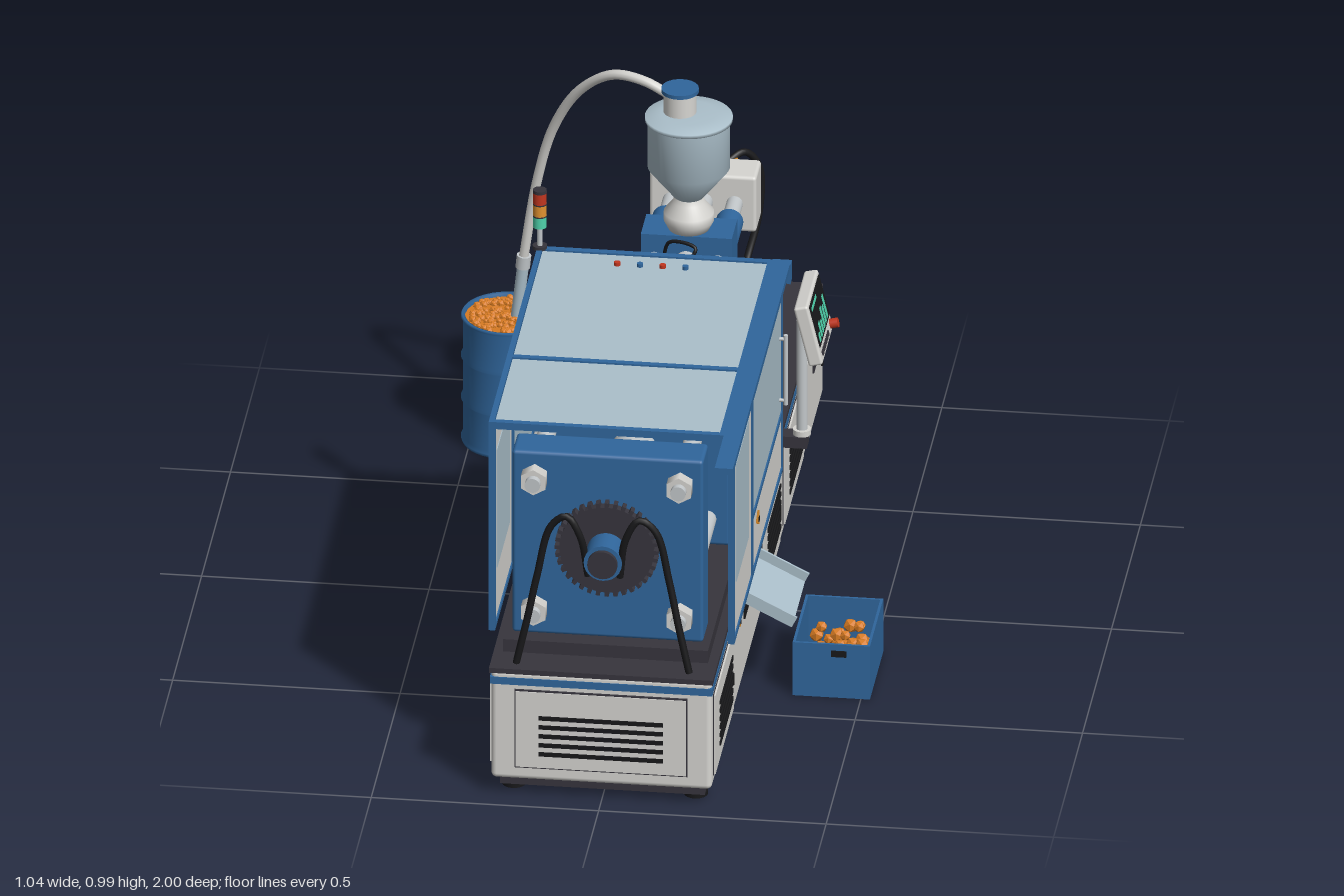
import * as THREE from 'three';
import { RoundedBoxGeometry } from 'three/addons/geometries/RoundedBoxGeometry.js';

const M = {};
for (const [name, color] of Object.entries({
  offWhite: 0xd6d5d1, machineBlue: 0x30669c, paleBlue: 0xabbfca, charcoal: 0x37353d, black: 0x18181a,
  steel: 0xc2c7ca, pelletOrange: 0xd67a22, signalRed: 0xc2361f, signalTeal: 0x4fd3ac, amber: 0xe0912f,
})) M[name] = new THREE.MeshStandardMaterial({ color, name });
M.paleBlue.side = THREE.DoubleSide;

export function createModel() {
  const root = new THREE.Group();
  root.name = 'mouldingMachine';
  const V = (a) => new THREE.Vector3(...a);
  const add = (name, geo, mat, p = [0, 0, 0], parent = root) => {
    const m = new THREE.Mesh(geo, mat);
    m.name = name;
    m.position.set(...p);
    parent.add(m);
    return m;
  };
  // box from its limits
  const box = (name, mat, x0, x1, y0, y1, z0, z1, parent) =>
    add(name, new THREE.BoxGeometry(x1 - x0, y1 - y0, z1 - z0), mat, [(x0 + x1) / 2, (y0 + y1) / 2, (z0 + z1) / 2], parent);
  // cylinder between two points
  const rod = (name, mat, a, b, r, r2 = r, sides = 24) => {
    const A = V(a), B = V(b), d = B.clone().sub(A);
    const m = add(name, new THREE.CylinderGeometry(r2, r, d.length(), sides), mat, A.clone().add(B).multiplyScalar(0.5).toArray());
    m.quaternion.setFromUnitVectors(new THREE.Vector3(0, 1, 0), d.normalize());
    return m;
  };
  const hose = (name, mat, pts, r) =>
    add(name, new THREE.TubeGeometry(new THREE.CatmullRomCurve3(pts.map(V)), 48, r, 10), mat);
  const lathe = (name, mat, pts, p) =>
    add(name, new THREE.LatheGeometry(pts.map((q) => new THREE.Vector2(...q)), 40), mat, p);
  let seed = 7;
  const rnd = () => (seed = (seed * 16807) % 2147483647) / 2147483647;

  // ---- base cabinet
  add('baseCabinet', new RoundedBoxGeometry(0.485, 0.265, 1.9, 3, 0.012), M.offWhite, [0, 0.175, 0.007]);
  box('basePlinth', M.charcoal, -0.225, 0.225, 0.02, 0.048, -0.92, 0.935);
  box('baseStripe', M.machineBlue, -0.2445, 0.2445, 0.275, 0.292, -0.945, 0.959);
  box('baseTop', M.charcoal, -0.246, 0.246, 0.303, 0.315, -0.947, 0.962);
  box('clampBed', M.charcoal, -0.225, 0.225, 0.315, 0.345, -0.02, 0.88);
  for (const x of [-0.2, 0.2]) for (const z of [0.89, 0.3, -0.3, -0.89]) {
    rod('footPad', M.black, [x, 0, z], [x, 0.01, z], 0.026);
    rod('footStem', M.charcoal, [x, 0.01, z], [x, 0.03, z], 0.012);
  }
  // raised service panels with louvre slots
  const frames = [[0.93, 0.61], [0.09, -0.2], [-0.27, -0.6], [-0.64, -0.925]];
  for (const s of [-1, 1]) {
    frames.forEach(([z1, z0], i) => {
      box('panelSeam', M.charcoal, s * 0.243 - 0.001, s * 0.243 + 0.001, 0.066, 0.264, z0, z1);
      box('servicePanel', M.offWhite, s * 0.245 - 0.003, s * 0.245 + 0.003, 0.069, 0.261, z0 + 0.003, z1 - 0.003);
      const c = (z0 + z1) / 2 - 0.02;
      if (i < 3) for (let k = 0; k < 6; k++)
        box('louvreSlot', M.black, s * 0.249 - 0.002, s * 0.249 + 0.002, 0.105 + k * 0.02, 0.114 + k * 0.02, c - 0.11, c + 0.11);
      box('panelLatch', M.black, s * 0.249 - 0.003, s * 0.249 + 0.003, 0.14, 0.165, z0 + 0.02, z0 + 0.03);
    });
    box('ratingPlate', M.charcoal, s * 0.249 - 0.002, s * 0.249 + 0.002, 0.195, 0.235, -0.84, -0.75);
    const e = s > 0 ? 0.959 : -0.945;
    box('endPanelSeam', M.charcoal, -0.19, 0.19, 0.075, 0.265, e - 0.003, e + 0.003);
    box('endPanel', M.offWhite, -0.187, 0.187, 0.078, 0.262, e - 0.005, e + 0.005);
    for (let k = 0; k < 5; k++)
      box('endLouvre', M.black, -0.137, 0.137, 0.107 + k * 0.022, 0.117 + k * 0.022, e - 0.007, e + 0.007);
  }

  // ---- guard around the clamp
  const frame = (name, s, x, y0, y1, z0, z1) => {
    for (const [a, b, c, d] of [[y0, y0 + 0.012, z0, z1], [y1 - 0.012, y1, z0, z1], [y0, y1, z0, z0 + 0.014], [y0, y1, z1 - 0.014, z1]])
      box(name, M.machineBlue, x - 0.007, x + 0.007, a, b, c, d);
  };
  for (const s of [-1, 1]) {
    const x = s > 0 ? 0.27 : -0.256;
    frame('guardFrame', s, x, 0.34, 0.84, 0.51, 0.832);
    box('guardPanel', M.offWhite, x - 0.004, x + 0.004, 0.35, 0.83, 0.522, 0.82);
    box('guardWindow', M.paleBlue, x - 0.006, x + 0.006, 0.47, 0.76, 0.57, 0.785);
    frame('doorFrame', s, x, 0.34, 0.84, -0.012, 0.512);
    box('doorWindow', M.paleBlue, x - 0.004, x + 0.004, 0.488, 0.83, 0, 0.5);
    box('doorKickPanel', M.offWhite, x - 0.004, x + 0.004, 0.35, 0.48, 0, 0.5);
    box('doorRail', M.machineBlue, x - 0.007, x + 0.007, 0.478, 0.49, 0, 0.5);
    rod('doorHandle', M.steel, [x + s * 0.018, 0.52, 0.03], [x + s * 0.018, 0.69, 0.03], 0.005);
    for (const y of [0.53, 0.68]) rod('handleMount', M.steel, [x, y, 0.03], [x + s * 0.018, y, 0.03], 0.004);
    // warning triangles
    for (const [px, py, pz, r] of [[x + s * 0.006, 0.437, 0.42, 0.02], [s * 0.244, 0.217, 0.485, 0.02]]) {
      const t = add('warningSign', new THREE.CylinderGeometry(r, r, 0.005, 3), M.amber, [px, py, pz]);
      t.rotation.set(0, 0, -Math.PI / 2);
      t.rotation.order = 'YXZ';
      box('warningMark', M.black, px - 0.004, px + 0.004, py - 0.005, py + 0.007, pz - 0.003, pz + 0.003);
    }
  }
  box('roofPanel', M.paleBlue, -0.25, 0.252, 0.838, 0.848, 0, 0.825);
  for (const [z0, z1] of [[-0.012, 0.004], [0.508, 0.522], [0.82, 0.834]]) box('roofBeam', M.machineBlue, -0.263, 0.26, 0.835, 0.852, z0, z1);
  for (const x of [-0.257, 0.25]) box('roofEdge', M.machineBlue, x - 0.006, x + 0.006, 0.835, 0.852, -0.012, 0.834);
  box('slideRail', M.machineBlue, 0.255, 0.295, 0.842, 0.857, -0.005, 1.0);
  box('slideRailLip', M.machineBlue, 0.288, 0.297, 0.81, 0.857, -0.005, 0.02);
  [-0.08, -0.03, 0.02, 0.07].forEach((x, i) =>
    rod('roofLamp', i % 2 ? M.machineBlue : M.signalRed, [x, 0.84, 0.05], [x, 0.856, 0.05], 0.007));

  // ---- platens, tie bars and moulds
  const platen = (name, z0, z1) => add(name, new RoundedBoxGeometry(0.42, 0.445, z1 - z0, 2, 0.008), M.machineBlue, [0, 0.568, (z0 + z1) / 2]);
  platen('rearPlaten', 0.755, 0.845);
  platen('movingPlaten', 0.3, 0.38);
  platen('fixedPlaten', -0.035, 0.06);
  box('fixedMould', M.steel, -0.11, 0.11, 0.45, 0.69, 0.06, 0.16);
  box('movingMould', M.steel, -0.11, 0.11, 0.45, 0.69, 0.2, 0.3);
  rod('clampRam', M.steel, [0, 0.57, 0.38], [0, 0.57, 0.76], 0.05);
  for (const x of [-0.16, 0.16]) for (const y of [0.41, 0.73]) {
    rod('tieBar', M.steel, [x, y, -0.05], [x, y, 0.86], 0.02);
    for (const [a, b] of [[0.845, 0.875], [-0.065, -0.035]]) rod('tieBarNut', M.offWhite, [x, y, a], [x, y, b], 0.031, 0.031, 6);
    rod('tieBarEnd', M.steel, [x, y, -0.08], [x, y, 0.89], 0.017);
  }
  // toothed adjusting ring and clamp cylinder
  rod('adjustRing', M.charcoal, [0, 0.57, 0.845], [0, 0.57, 0.865], 0.104, 0.104, 48);
  for (let i = 0; i < 36; i++) {
    const a = (i / 36) * Math.PI * 2;
    const t = add('ringTooth', new THREE.BoxGeometry(0.014, 0.009, 0.02), M.charcoal, [Math.cos(a) * 0.107, 0.57 + Math.sin(a) * 0.107, 0.855]);
    t.rotation.z = a;
  }
  rod('clampCylinder', M.machineBlue, [0, 0.57, 0.86], [0, 0.57, 0.93], 0.042);
  rod('clampCylinderCap', M.charcoal, [0, 0.57, 0.93], [0, 0.57, 0.94], 0.033);
  for (const s of [-1, 1])
    hose('clampHose', M.black, [[s * 0.035, 0.53, 0.91], [s * 0.05, 0.63, 0.925], [s * 0.08, 0.678, 0.925], [s * 0.115, 0.65, 0.92],
      [s * 0.145, 0.53, 0.92], [s * 0.165, 0.43, 0.925], [s * 0.19, 0.315, 0.93]], 0.008);
  // manifold on the fixed platen
  box('manifold', M.machineBlue, -0.12, 0.12, 0.79, 0.812, -0.03, 0.03);
  box('manifoldBar', M.signalRed, -0.06, 0.1, 0.805, 0.825, -0.045, -0.025);
  for (let i = 0; i < 6; i++) {
    const x = -0.075 + i * 0.03;
    hose('coolingHose', i % 2 ? M.signalRed : M.machineBlue, [[x, 0.81, 0.02], [x, 0.832, 0.015], [x, 0.828, -0.03], [x, 0.78, -0.045]], 0.005);
  }

  // ---- nozzle guard and barrel
  box('nozzleGuard', M.paleBlue, -0.1, 0.1, 0.45, 0.69, -0.17, -0.035);
  box('nozzleGuardTop', M.offWhite, -0.102, 0.102, 0.69, 0.7, -0.185, -0.03);
  rod('heatedBarrel', M.steel, [0, 0.575, -0.17], [0, 0.575, -0.52], 0.024);
  [-0.23, -0.29, -0.36, -0.43].forEach((z) => {
    rod('heaterBand', M.charcoal, [0, 0.575, z - 0.026], [0, 0.575, z + 0.026], 0.037);
    hose('heaterCable', M.black, [[0.01, 0.61, z], [0.03, 0.645, z - 0.01], [-0.03, 0.645, z - 0.035], [-0.045, 0.59, z - 0.05], [-0.045, 0.55, z - 0.06]], 0.004);
  });
  // carriage cylinders beside the barrel
  box('carriageSlab', M.charcoal, -0.125, 0.125, 0.315, 0.37, -0.91, -0.45);
  for (const s of [-1, 1]) {
    const x = s * 0.14;
    rod('carriageRod', M.steel, [x, 0.415, -0.04], [x, 0.415, -0.46], 0.011);
    rod('carriageCylinder', M.paleBlue, [x, 0.415, -0.08], [x, 0.415, -0.28], 0.02);
    rod('carriageCollar', M.steel, [x, 0.415, -0.035], [x, 0.415, -0.08], 0.027);
    box('carriageBracket', M.charcoal, x - 0.025, x + 0.025, 0.315, 0.435, -0.48, -0.44);
    box('guideRail', M.steel, s * 0.1 - 0.008, s * 0.1 + 0.008, 0.37, 0.378, -0.9, -0.46);
    rod('injectionCylinder', M.machineBlue, [s * 0.07, 0.575, -0.62], [s * 0.07, 0.575, -0.715], 0.03);
    rod('injectionRod', M.steel, [s * 0.07, 0.575, -0.46], [s * 0.07, 0.575, -0.81], 0.018);
  }
  box('valveBox', M.offWhite, -0.205, -0.15, 0.315, 0.42, -0.54, -0.45);

  // ---- feed block, screw drive
  box('feedPedestal', M.offWhite, -0.06, 0.06, 0.37, 0.51, -0.62, -0.5);
  box('feedBlock', M.machineBlue, -0.1, 0.1, 0.51, 0.635, -0.61, -0.515);
  hose('feedHose', M.signalRed, [[0.1, 0.56, -0.54], [0.115, 0.51, -0.53], [0.11, 0.44, -0.515], [0.1, 0.37, -0.51]], 0.005);
  rod('screwShaft', M.steel, [0, 0.575, -0.61], [0, 0.575, -0.8], 0.022);
  add('driveHousing', new RoundedBoxGeometry(0.235, 0.135, 0.09, 2, 0.008), M.offWhite, [0, 0.573, -0.845]);
  rod('driveMotor', M.charcoal, [0, 0.575, -0.89], [0, 0.575, -0.96], 0.045);
  rod('driveMotorCap', M.black, [0, 0.575, -0.96], [0, 0.575, -0.975], 0.036);
  for (const s of [-1, 1]) {
    hose('driveHose', M.black, [[s * 0.03, 0.6, -0.93], [s * 0.07, 0.615, -0.97], [s * 0.1, 0.57, -0.99], [s * 0.1, 0.46, -0.985], [s * 0.08, 0.37, -0.95], [s * 0.07, 0.315, -0.9]], 0.008);
    rod('motorFitting', M.amber, [s * 0.04, 0.6, -0.93], [s * 0.062, 0.61, -0.935], 0.008);
  }

  // ---- hopper and vacuum loader
  lathe('hopperNeck', M.offWhite, [[0, 0.635], [0.045, 0.635], [0.055, 0.655], [0.055, 0.675], [0.035, 0.7], [0.03, 0.72]], [0, 0, -0.56]);
  lathe('hopper', M.paleBlue, [[0.03, 0.71], [0.035, 0.715], [0.09, 0.785], [0.09, 0.9], [0.096, 0.9], [0.096, 0.908], [0.06, 0.915], [0, 0.915]], [0, 0, -0.56]);
  rod('loaderBody', M.offWhite, [-0.02, 0.91, -0.565], [-0.02, 0.965, -0.565], 0.036);
  rod('loaderLid', M.machineBlue, [-0.02, 0.964, -0.565], [-0.02, 0.973, -0.565], 0.041);
  hose('suctionHose', M.offWhite, [[-0.05, 0.955, -0.57], [-0.1, 0.976, -0.58], [-0.17, 0.975, -0.605], [-0.25, 0.91, -0.65], [-0.315, 0.79, -0.695], [-0.355, 0.64, -0.72], [-0.385, 0.45, -0.73]], 0.011);
  rod('suctionLance', M.paleBlue, [-0.385, 0.44, -0.73], [-0.402, 0.29, -0.735], 0.013);
  rod('lanceCollar', M.steel, [-0.384, 0.455, -0.73], [-0.387, 0.425, -0.731], 0.016);

  // ---- pellet drum
  lathe('pelletDrum', M.machineBlue, [[0, 0], [0.1, 0], [0.103, 0.008], [0.098, 0.014], [0.098, 0.1], [0.103, 0.105], [0.098, 0.11], [0.098, 0.202],
    [0.103, 0.207], [0.098, 0.212], [0.098, 0.298], [0.103, 0.304], [0.1, 0.309], [0.094, 0.307], [0.094, 0.29]], [-0.42, 0, -0.735]);
  rod('pelletFill', M.pelletOrange, [-0.42, 0.27, -0.735], [-0.42, 0.3, -0.735], 0.094);
  const lump = new THREE.IcosahedronGeometry(1, 0);
  for (let i = 0; i < 150; i++) {
    const a = rnd() * 6.283, r = Math.sqrt(rnd()) * 0.086;
    add('pellet', lump, M.pelletOrange, [-0.42 + Math.cos(a) * r, 0.302, -0.735 + Math.sin(a) * r]).scale.setScalar(0.006 + rnd() * 0.004);
  }

  // ---- parts chute and bin
  const chute = new THREE.Group();
  chute.name = 'partsChute';
  chute.position.set(0.295, 0.205, 0.29);
  chute.rotation.z = -0.47;
  root.add(chute);
  box('chuteFloor', M.paleBlue, -0.065, 0.065, -0.012, -0.006, -0.105, 0.105, chute);
  for (const z of [-0.105, 0.105]) box('chuteWall', M.paleBlue, -0.065, 0.065, -0.012, 0.015, z - 0.003, z + 0.003, chute);
  box('chuteOpening', M.black, 0.241, 0.246, 0.18, 0.245, 0.18, 0.4);
  box('binFloor', M.machineBlue, 0.35, 0.52, 0, 0.008, 0.17, 0.4);
  for (const z of [0.17, 0.394]) box('binEnd', M.machineBlue, 0.35, 0.52, 0, 0.13, z, z + 0.006);
  for (const x of [0.35, 0.514]) box('binSide', M.machineBlue, x, x + 0.006, 0, 0.13, 0.17, 0.4);
  for (const z of [0.168, 0.4]) box('binHandhole', M.black, 0.435, 0.468, 0.1, 0.115, z, z + 0.002);
  for (let i = 0; i < 55; i++)
    add('mouldedPart', lump, M.pelletOrange, [0.37 + rnd() * 0.13, 0.03 + rnd() * 0.055, 0.19 + rnd() * 0.19]).scale.setScalar(0.011 + rnd() * 0.007);

  // ---- control panel on its post
  rod('panelPost', M.steel, [0.297, 0.35, -0.18], [0.297, 0.62, -0.18], 0.012);
  rod('panelPostFoot', M.offWhite, [0.297, 0.342, -0.18], [0.297, 0.355, -0.18], 0.02);
  box('panelArm', M.charcoal, 0.2, 0.31, 0.315, 0.342, -0.2, -0.16);
  const panel = new THREE.Group();
  panel.name = 'controlPanel';
  panel.position.set(0.322, 0.627, -0.18);
  panel.rotation.z = 0.24;
  root.add(panel);
  add('panelCase', new RoundedBoxGeometry(0.032, 0.145, 0.185, 2, 0.006), M.offWhite, [0, 0, 0], panel);
  box('screen', M.black, 0.015, 0.018, -0.035, 0.064, -0.08, 0.08, panel);
  [0.02, 0.035, 0.028, 0.048, 0.04, 0.055].forEach((h, i) =>
    box('screenBar', M.signalTeal, 0.018, 0.019, -0.028, -0.028 + h, 0.055 - i * 0.023, 0.07 - i * 0.023, panel));
  box('screenHeader', M.signalTeal, 0.018, 0.019, 0.048, 0.056, 0, 0.07, panel);
  for (let i = 0; i < 6; i++) box('panelKey', M.charcoal, 0.015, 0.019, -0.058, -0.048, 0.062 - i * 0.018, 0.074 - i * 0.018, panel);
  add('stopButton', new THREE.CylinderGeometry(0.011, 0.011, 0.02, 20), M.signalRed, [0.024, -0.053, -0.07], panel).rotation.z = Math.PI / 2;

  // ---- signal tower
  rod('towerBase', M.charcoal, [-0.257, 0.85, -0.005], [-0.257, 0.858, -0.005], 0.016);
  rod('towerPole', M.steel, [-0.257, 0.855, -0.005], [-0.257, 0.905, -0.005], 0.006);
  [['tealLamp', M.signalTeal], ['amberLamp', M.amber], ['redLamp', M.signalRed]].forEach(([n, m], i) => {
    const y = 0.903 + i * 0.029;
    rod(n, m, [-0.257, y, -0.005], [-0.257, y + 0.026, -0.005], 0.015);
    rod('lampRing', M.charcoal, [-0.257, y + 0.026, -0.005], [-0.257, y + 0.029, -0.005], 0.0155);
  });
  rod('towerCap', M.charcoal, [-0.257, 0.988, -0.005], [-0.257, 0.994, -0.005], 0.015);
  return root;
}
